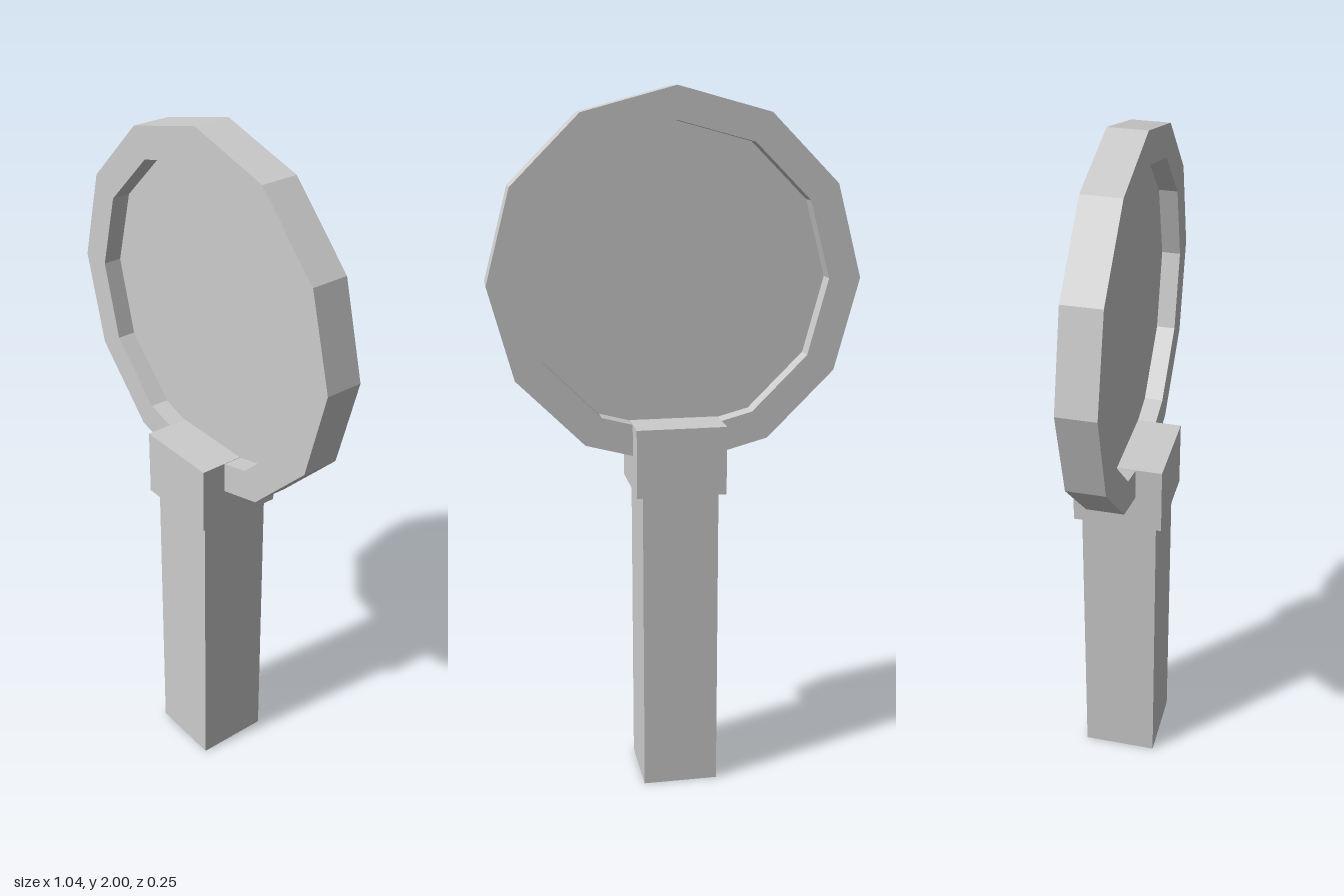
import * as THREE from 'three';

const SIDES = 12;
const CENTRE_Y = 1.48;

// Regular polygon with a corner pointing straight up
function polygonPoints(radius) {
  return Array.from({ length: SIDES }, (_, i) => {
    const a = Math.PI / 2 + (i / SIDES) * Math.PI * 2;
    return new THREE.Vector2(Math.cos(a) * radius, Math.sin(a) * radius);
  });
}

export function createModel() {
  const group = new THREE.Group();
  group.name = 'magnifyingGlass';
  const grey = new THREE.MeshStandardMaterial({ color: 0xcccccc, flatShading: true });
  grey.name = 'lightGrey';
  const lensGrey = grey.clone();
  lensGrey.side = THREE.DoubleSide;
  lensGrey.name = 'lensGrey';

  function add(name, geometry, y, material = grey) {
    const mesh = new THREE.Mesh(geometry, material);
    mesh.name = name;
    mesh.position.y = y;
    group.add(mesh);
  }

  // Faceted rim with an open centre
  const depth = 0.106;
  const rim = new THREE.Shape(polygonPoints(0.52));
  rim.holes.push(new THREE.Path(polygonPoints(0.43).reverse()));
  const rimGeometry = new THREE.ExtrudeGeometry(rim, { depth, bevelEnabled: false });
  rimGeometry.translate(0, 0, -depth / 2);
  add('rim', rimGeometry, CENTRE_Y);

  // Flat lens halfway through the rim
  add('lens', new THREE.ShapeGeometry(new THREE.Shape(polygonPoints(0.43))), CENTRE_Y, lensGrey);

  // Square collar and grip
  add('collar', new THREE.BoxGeometry(0.254, 0.195, 0.254), 0.9875);
  add('handle', new THREE.BoxGeometry(0.216, 0.9, 0.216), 0.45);

  return group;
}
